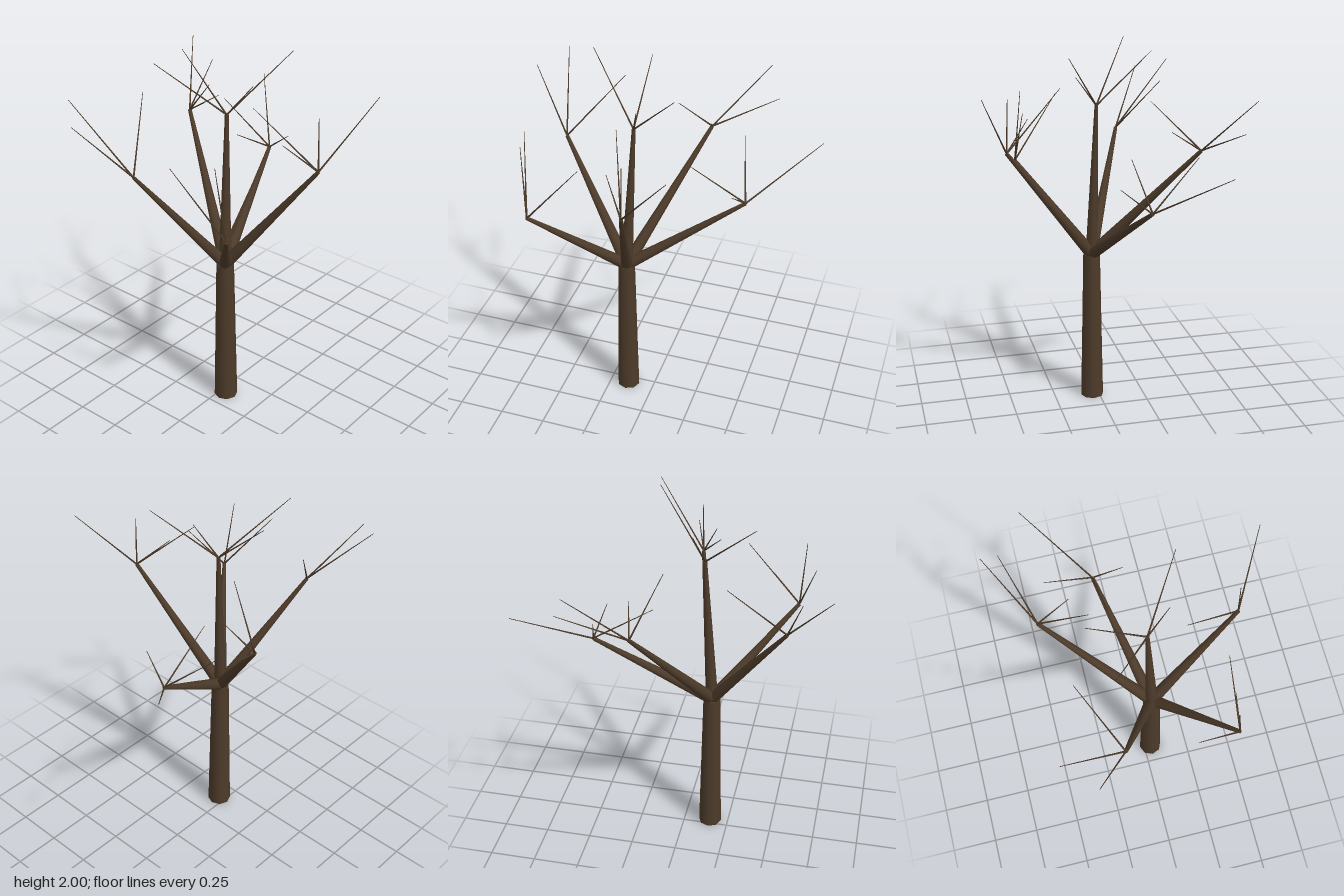
import * as THREE from 'three';

const V = (p) => new THREE.Vector3(...p);

// Tapered round limb running from a to b
function limb(name, a, b, r0, r1, sides, material) {
  const start = V(a), dir = V(b).sub(start), length = dir.length();
  const geometry = new THREE.CylinderGeometry(r1, r0, length, sides);
  geometry.translate(0, length / 2, 0);
  const mesh = new THREE.Mesh(geometry, material);
  mesh.name = name;
  mesh.position.copy(start);
  mesh.quaternion.setFromUnitVectors(new THREE.Vector3(0, 1, 0), dir.normalize());
  return mesh;
}

// Each branch: its fork point and the tips of the twigs growing from it
const BRANCHES = [
  { name: 'centre', fork: [-0.105, 1.695, 0.018],
    twigs: [[-0.39, 2, -0.2], [0.168, 2, 0.22], [-0.1, 1.97, -0.275], [-0.05, 1.86, 0.14]] },
  { name: 'backLeft', fork: [0.172, 1.493, -0.472],
    twigs: [[0.437, 1.8, -0.67], [0.505, 1.655, -0.587], [0.055, 1.74, -0.23], [0.213, 1.61, -0.3]] },
  { name: 'left', fork: [0.453, 1.266, -0.135],
    twigs: [[0.785, 1.52, -0.435], [0.372, 1.515, -0.395], [0.137, 1.46, -0.11], [0.415, 1.39, 0.02]] },
  { name: 'front', fork: [-0.003, 1.493, 0.513],
    twigs: [[0.268, 1.84, 0.668], [0, 1.775, 0.503], [-0.13, 1.79, 0.205], [-0.122, 1.64, 0.38]] },
  { name: 'frontRight', fork: [-0.556, 1.298, 0.383],
    twigs: [[-0.655, 1.645, 0.128], [-0.27, 1.632, 0.382], [-0.41, 1.47, 0.388], [-0.583, 1.685, 0.34]] },
  { name: 'backRight', fork: [-0.56, 1.453, -0.202],
    twigs: [[-0.787, 1.755, -0.375], [-0.657, 1.813, -0.525], [-0.285, 1.77, -0.38]] },
];

export function createModel() {
  const bark = new THREE.MeshStandardMaterial({ color: 0x4d3b2a });
  bark.name = 'bark';
  const tree = new THREE.Group();
  tree.name = 'bareTree';

  const crown = [-0.147, 0.855, 0.037];
  tree.add(limb('trunk', [-0.147, 0, 0.037], crown, 0.064, 0.047, 8, bark));

  // Branches fan out from the top of the trunk, each ending in thin twigs
  for (const { name, fork, twigs } of BRANCHES) {
    const group = new THREE.Group();
    group.name = name + 'Branch';
    group.add(limb('bough', crown, fork, 0.034, 0.01, 8, bark));
    for (const tip of twigs) group.add(limb('twig', fork, tip, 0.005, 0.0015, 5, bark));
    tree.add(group);
  }
  return tree;
}
